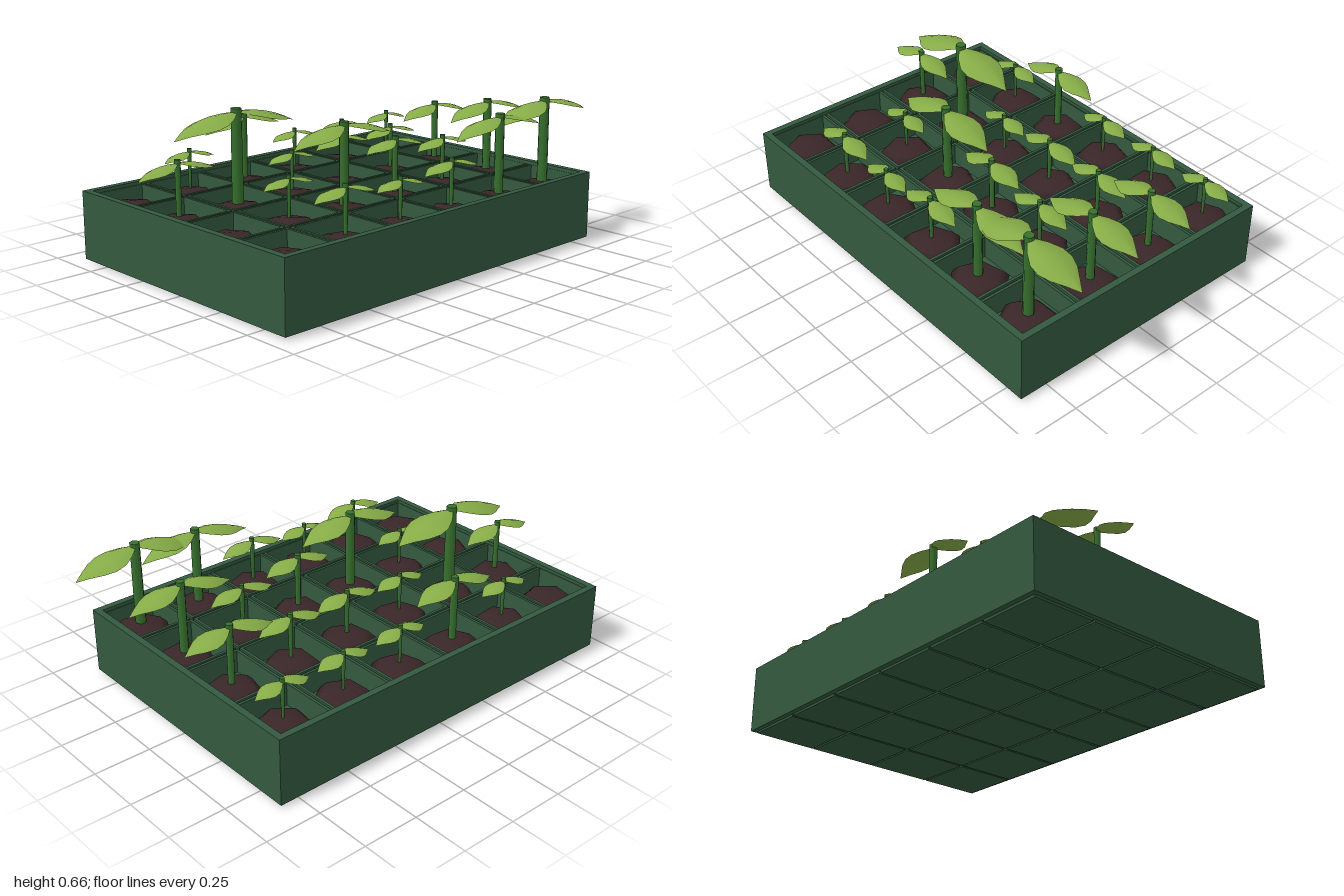
import * as THREE from 'three';

const mat = (name, color, side = THREE.FrontSide) => {
  const m = new THREE.MeshStandardMaterial({ color, side });
  m.name = name;
  return m;
};

// Rectangular frame standing between two heights
function frame(x0, x1, z0, z1, t, y0, y1) {
  const rect = (C, d) => new C([
    new THREE.Vector2(x0 + d, -z1 + d), new THREE.Vector2(x1 - d, -z1 + d),
    new THREE.Vector2(x1 - d, -z0 - d), new THREE.Vector2(x0 + d, -z0 - d)]);
  const shape = rect(THREE.Shape, 0);
  shape.holes.push(rect(THREE.Path, t));
  return new THREE.ExtrudeGeometry(shape, { depth: y1 - y0, bevelEnabled: false })
    .rotateX(-Math.PI / 2).translate(0, y0, 0);
}

function slab(x0, x1, z0, z1, y0, y1) {
  return new THREE.BoxGeometry(x1 - x0, y1 - y0, z1 - z0)
    .translate((x0 + x1) / 2, (y0 + y1) / 2, (z0 + z1) / 2);
}

// Drooping pointed leaf along +x: arched lengthwise, domed across
function leafGeometry(length, halfWidth) {
  const outline = [0.12, 0.62, 0.95, 1, 0.78, 0.4, 0.02];
  const across = [-1, -0.5, 0, 0.5, 1];
  const pos = [], idx = [];
  outline.forEach((w, i) => {
    const u = i / (outline.length - 1);
    for (const a of across) {
      pos.push(u * length,
        length * (0.04 * u - 0.29 * u * u) - halfWidth * 0.28 * w * a * a,
        a * w * halfWidth);
    }
  });
  const n = across.length;
  for (let i = 0; i < outline.length - 1; i++) {
    for (let j = 0; j < n - 1; j++) {
      const a = i * n + j, b = a + 1, c = a + n, d = c + 1;
      idx.push(a, b, c, b, d, c);
    }
  }
  const g = new THREE.BufferGeometry();
  g.setAttribute('position', new THREE.Float32BufferAttribute(pos, 3));
  g.setIndex(idx);
  g.computeVertexNormals();
  return g;
}

export function createModel() {
  const model = new THREE.Group();
  model.name = 'seedlingTray';
  const trayMat = mat('trayGreen', 0x34593f);
  const soilMat = mat('soilBrown', 0x3a2628);
  const stemMat = mat('stemGreen', 0x37702f);
  const leafMat = mat('leafGreen', 0x86ac47, THREE.DoubleSide);

  const add = (parent, name, geo, material) => {
    const m = new THREE.Mesh(geo, material);
    m.name = name;
    parent.add(m);
    return m;
  };

  // Outer tray
  add(model, 'trayWall', frame(-0.93, 0.845, -0.633, 0.633, 0.03, 0.01, 0.305), trayMat);
  add(model, 'trayBase', slab(-0.925, 0.84, -0.63, 0.63, 0.01, 0.03), trayMat);

  const xs = [-0.915, -0.64, -0.341, -0.042, 0.257, 0.556, 0.83];
  const zs = [-0.615, -0.32, 0, 0.32, 0.615];
  const centreX = c => -0.79 + c * 0.2992;
  const centreZ = r => -0.48 + r * 0.32;

  // Plants by row and column: [top height, leaf length, leaf half width]
  const s = [0.44, 0.13, 0.045], m = [0.465, 0.16, 0.05];
  const plants = [
    [null, s, [0.55, 0.21, 0.06], s, s, s],
    [[0.495, 0.19, 0.055], [0.66, 0.31, 0.09], s, m, m, [0.53, 0.21, 0.063]],
    [null, s, [0.61, 0.27, 0.077], [0.505, 0.17, 0.055], m, [0.585, 0.245, 0.068]],
    [null, m, s, m, [0.605, 0.27, 0.068], [0.635, 0.285, 0.083]],
  ];

  const soilGeo = new THREE.SphereGeometry(1, 6, 4).scale(0.133, 0.055, 0.133);
  const gap = 0.005;

  plants.forEach((row, r) => row.forEach((plant, c) => {
    // Cell with its floor and soil
    const b = [xs[c] + gap, xs[c + 1] - gap, zs[r] + gap, zs[r + 1] - gap];
    add(model, 'cellWall', frame(...b, 0.012, 0, 0.29), trayMat);
    add(model, 'cellFloor', slab(...b, 0, 0.19), trayMat);
    const soil = add(model, 'soil', soilGeo, soilMat);
    soil.position.set(centreX(c), 0.212, centreZ(r));
    soil.rotation.y = 0.3 + (r * 6 + c) * 1.9;

    if (!plant) return;
    // Seedling: stem with a pair of opposite leaves
    const [top, length, half] = plant;
    const seedling = new THREE.Group();
    seedling.name = 'seedling';
    seedling.position.set(centreX(c), 0, centreZ(r));
    model.add(seedling);
    const tall = Math.max(0, (top - 0.44) / 0.22);
    const rTop = 0.01 + 0.013 * tall, rBase = 0.006 + 0.02 * tall;
    add(seedling, 'stem', new THREE.CylinderGeometry(rTop, rBase, top - 0.24, 7)
      .translate(0, (top + 0.24) / 2, 0), stemMat);
    const leafGeo = leafGeometry(length, half);
    for (const turn of [0, Math.PI]) {
      const leaf = add(seedling, 'leaf', leafGeo, leafMat);
      leaf.position.y = top - 0.015;
      leaf.rotation.y = turn;
    }
  }));

  // Centre the footprint
  const box = new THREE.Box3().setFromObject(model);
  model.position.x = -(box.min.x + box.max.x) / 2;
  return model;
}
